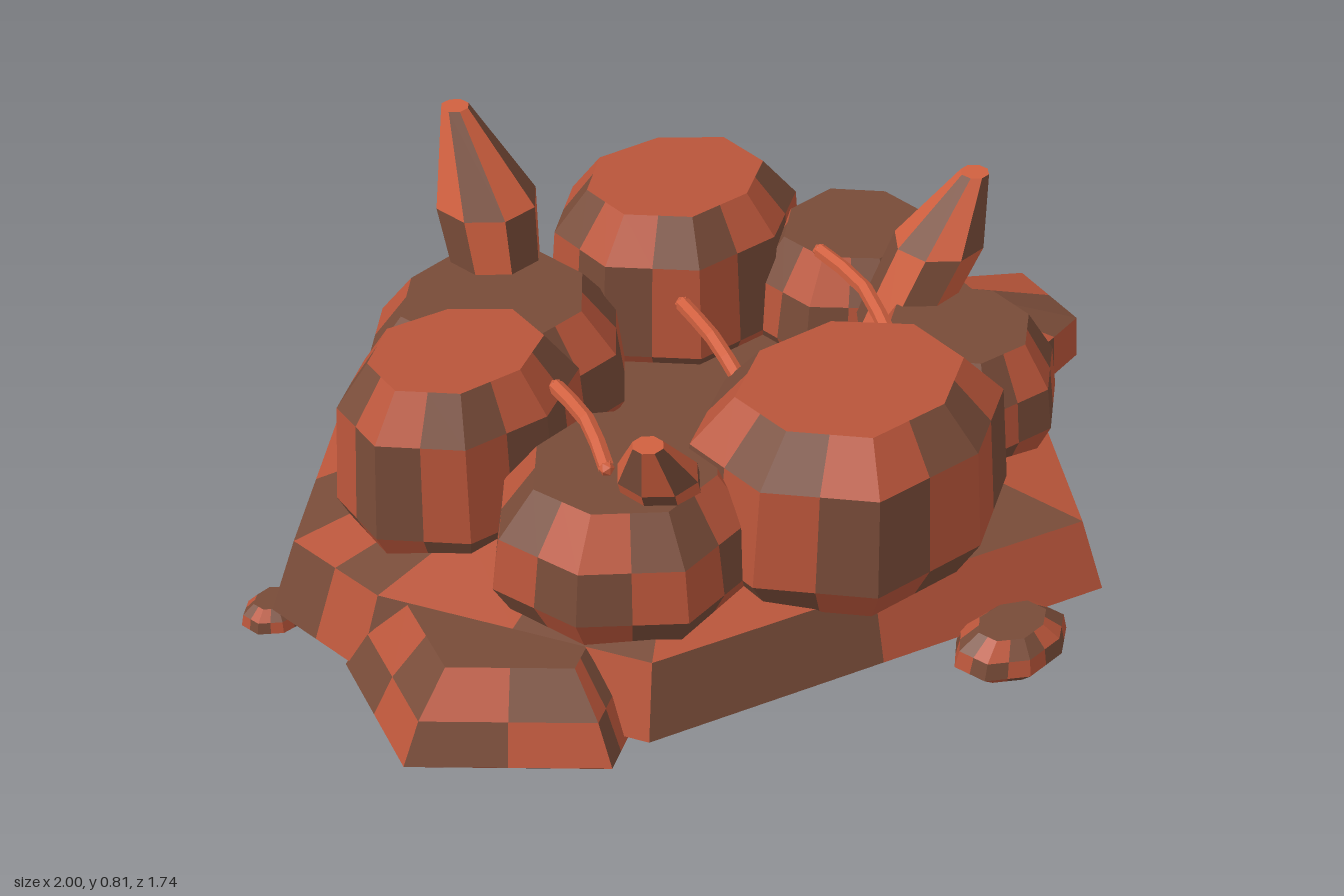
import * as THREE from 'three';

function paint(name, color) {
  const material = new THREE.MeshStandardMaterial({ color, flatShading: true });
  material.name = name;
  return material;
}
const rust = paint('rust', 0xb9553a);
const brown = paint('brown', 0x784b38);
const clay = paint('clay', 0xd0603f);

// Stack scaled copies of an outline into a faceted solid with two-colour patches.
// Outline runs from +x towards +z; rings are [y, scale, shiftX, shiftZ].
// step 2 repeats the patches on every side, step 1 wraps them round the corners.
function loft(name, outline, center, rings, { top = 1, split = 2, step = 2, light = rust } = {}) {
  const faces = [[], []];
  const n = outline.length;
  const loops = rings.map(([y, s, dx = 0, dz = 0]) => outline.map(([x, z]) =>
    new THREE.Vector3(center[0] + (x - center[0]) * s + dx, y, center[1] + (z - center[1]) * s + dz)));
  const tri = (c, ...pts) => pts.forEach((p) => faces[c].push(p.x, p.y, p.z));
  for (let r = 0; r < loops.length - 1; r++) {
    for (let i = 0; i < n; i++) {
      const j = (i + 1) % n;
      for (let k = 0; k < split; k++) {
        const at = (loop, t) => loop[i].clone().lerp(loop[j], t / split);
        const a = at(loops[r], k), b = at(loops[r], k + 1);
        const c = at(loops[r + 1], k), d = at(loops[r + 1], k + 1);
        const color = (i * step + k + r + 1) % 2;
        tri(color, a, c, d);
        tri(color, a, d, b);
      }
    }
  }
  // End caps
  const cap = (loop, color, up) => {
    const mid = loop.reduce((m, p) => m.add(p), new THREE.Vector3()).divideScalar(n);
    loop.forEach((p, i) => {
      const q = loop[(i + 1) % n];
      if (up) tri(color, mid, q, p);
      else tri(color, mid, p, q);
    });
  };
  cap(loops[0], 1, false);
  cap(loops[loops.length - 1], top, true);

  const geometry = new THREE.BufferGeometry();
  geometry.setAttribute('position', new THREE.Float32BufferAttribute(faces[0].concat(faces[1]), 3));
  geometry.addGroup(0, faces[0].length / 3, 0);
  geometry.addGroup(faces[0].length / 3, faces[1].length / 3, 1);
  geometry.computeVertexNormals();
  const mesh = new THREE.Mesh(geometry, [light, brown]);
  mesh.name = name;
  return mesh;
}

// Slightly uneven polygon
function ring(cx, cz, rx, rz, n, rot = 0, uneven = 0.03) {
  return Array.from({ length: n }, (_, i) => {
    const a = rot + (i / n) * Math.PI * 2;
    const k = 1 + uneven * Math.sin(i * 2.7 + cx * 9);
    return [cx + Math.cos(a) * rx * k, cz + Math.sin(a) * rz * k];
  });
}

export function createModel() {
  const model = new THREE.Group();

  // Broad stone slab
  model.add(loft('baseSlab', [
    [0.8, 0.1], [0.43, 0.77], [-0.57, 0.62], [-0.9, 0.12],
    [-0.95, -0.14], [-0.66, -0.47], [-0.3, -0.69], [0.27, -0.56], [0.65, -0.4], [0.77, -0.24],
  ], [0, 0], [[0, 0.75], [0.08, 1], [0.23, 0.94], [0.28, 0.7]]));

  // Lobes breaking out of the slab edge
  model.add(loft('leftLobe', [
    [0.97, 0.1], [0.78, 0.16], [0.55, 0.05], [0.58, -0.3], [0.76, -0.25], [0.998, -0.12],
  ], [0.62, -0.06], [[0.02, 0.6], [0.07, 1], [0.17, 0.98], [0.25, 0.4]], { step: 1 }));
  model.add(loft('rightLobe', [
    [-0.57, 0.35], [-0.58, 0.57], [-0.66, 0.63], [-0.97, 0.4], [-0.91, 0.08], [-0.8, 0.0], [-0.6, 0.15],
  ], [-0.66, 0.32], [[0.02, 0.78], [0.07, 1], [0.15, 0.86], [0.23, 0.62]]));
  model.add(loft('backLobe', [
    [0.28, -0.57], [0, -0.45], [-0.28, -0.55], [-0.31, -0.69], [-0.27, -0.76],
    [-0.1, -0.84], [0.08, -0.87], [0.2, -0.73],
  ], [0, -0.58], [[0.02, 0.75], [0.07, 1], [0.16, 0.99], [0.225, 0.68]], { top: 0, step: 1 }));

  // Loose pebbles: x, z, radius x, radius z, top
  [[0.52, -0.51, 0.13, 0.09, 0.12], [0.18, 0.78, 0.13, 0.09, 0.12], [-0.93, -0.17, 0.07, 0.06, 0.08]]
    .forEach(([x, z, rx, rz, h]) => model.add(loft('pebble', ring(x, z, rx, rz, 8, 0.2),
      [x, z], [[0.02, 0.65], [h * 0.45, 1], [h * 0.75, 0.93], [h, 0.6]], { step: 1 })));

  // Ring of boulders: x, z, radius x, radius z, top, turn, cap colour
  [
    [0.0, 0.48, 0.34, 0.28, 0.6, -0.39, 0],
    [0.17, -0.34, 0.29, 0.25, 0.6, 0.35, 0],
    [-0.31, -0.3, 0.29, 0.28, 0.5, 0.2, 1],
    [-0.56, -0.04, 0.26, 0.215, 0.6, 0.4, 0],
    [-0.42, 0.34, 0.28, 0.255, 0.5, 0.15, 1],
    [0.465, -0.09, 0.235, 0.22, 0.5, 0.3, 1],
    [0.41, 0.32, 0.225, 0.215, 0.48, 0.39, 1],
  ].forEach(([x, z, rx, rz, h, turn, cap]) => {
    model.add(loft('boulder', ring(x, z, rx, rz, 8, turn), [x, z],
      [[0.22, 0.84], [0.3, 1], [h - 0.09, 0.94], [h, 0.68]], { top: cap, step: 1 }));
  });

  // Leaning horns: turn, then rings of y, radius, x, z
  [
    [-0.585, [0.4, 0.09, -0.22, -0.42], [0.62, 0.11, -0.22, -0.465], [0.81, 0.03, -0.24, -0.54]],
    [0.2, [0.4, 0.09, 0.4, 0.14], [0.58, 0.095, 0.48, 0.165], [0.73, 0.03, 0.545, 0.19]],
    [0.2, [0.4, 0.08, -0.37, 0.4], [0.53, 0.08, -0.42, 0.44], [0.645, 0.03, -0.475, 0.49]],
  ].forEach(([turn, ...rings]) => model.add(loft('horn', ring(0, 0, 1, 1, 8, turn, 0), [0, 0], rings,
    { top: 0, split: 1, step: 1, light: clay })));

  // Thin curved rods laid across the boulders
  [
    [[-0.05, 0.535, 0.0], [-0.08, 0.54, 0.15], [-0.11, 0.52, 0.28]],
    [[0.3, 0.535, 0.0], [0.28, 0.54, 0.17], [0.22, 0.515, 0.34]],
    [[-0.42, 0.535, 0.1], [-0.44, 0.54, 0.24], [-0.48, 0.52, 0.36]],
  ].forEach((points) => {
    const path = new THREE.CatmullRomCurve3(points.map((p) => new THREE.Vector3(...p)));
    const rod = new THREE.Mesh(new THREE.TubeGeometry(path, 4, 0.016, 6), clay);
    rod.name = 'rod';
    model.add(rod);
    // Blunt rod tips
    [points[0], points[2]].forEach((p) => {
      const tip = new THREE.Mesh(new THREE.IcosahedronGeometry(0.016, 0), clay);
      tip.name = 'rodTip';
      tip.position.set(...p);
      model.add(tip);
    });
  });

  return model;
}
